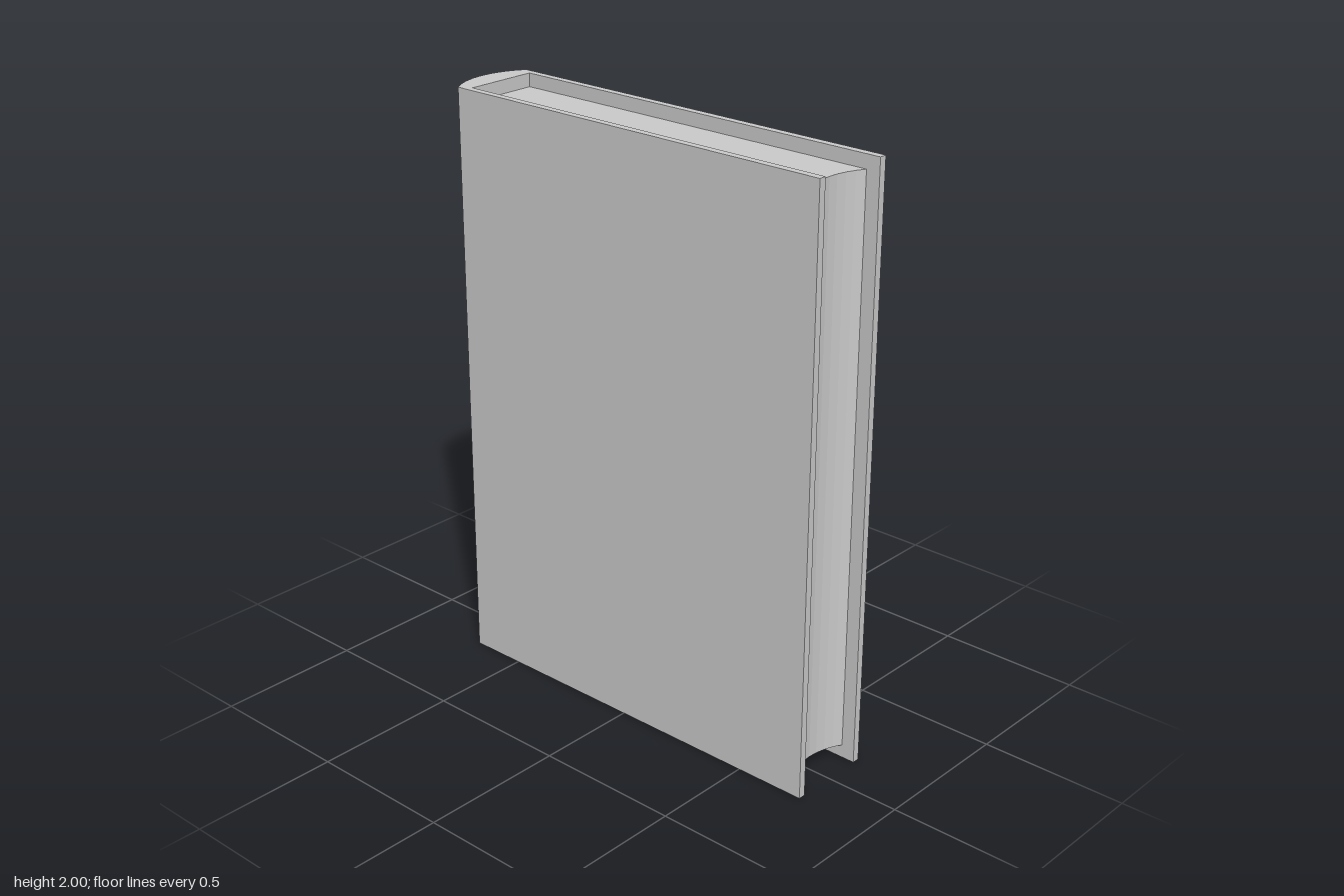
import * as THREE from 'three';

const HALF_W = 0.15, INNER = 0.125, DEPTH = 0.745;

// Points of a shallow arc from x = +half to x = -half, bulging by rise toward the back
function arc(half, edge, rise, steps = 8) {
  const r = (half * half + rise * rise) / (2 * rise);
  const a = Math.asin(half / r);
  return Array.from({ length: steps + 1 }, (_, i) => {
    const t = a - (2 * a * i) / steps;
    return new THREE.Vector2(r * Math.sin(t), edge + rise - r * (1 - Math.cos(t)));
  });
}

// Upright prism from a plan outline whose second coordinate points to the back (-z)
function prism(name, points, bottom, top) {
  const geometry = new THREE.ExtrudeGeometry(new THREE.Shape(points), { depth: top - bottom, bevelEnabled: false });
  geometry.rotateX(-Math.PI / 2).translate(0, bottom, 0);
  const mesh = new THREE.Mesh(geometry, new THREE.MeshStandardMaterial({ color: 0xcccccc, flatShading: true }));
  mesh.name = name;
  return mesh;
}

export function createModel() {
  const book = new THREE.Group();
  book.name = 'book';
  const v = (x, y) => new THREE.Vector2(x, y);

  // Two boards joined by a rounded spine
  const cover = prism('cover', [
    v(HALF_W, -DEPTH),
    ...arc(HALF_W, 0.695, 0.05),
    v(-HALF_W, -DEPTH),
    v(-INNER, -DEPTH),
    v(-INNER, 0.655),
    v(INNER, 0.655),
    v(INNER, -DEPTH),
  ], 0, 2);

  // Page block with a hollowed fore edge
  const pages = prism('pages', [
    v(INNER, 0.655),
    v(-INNER, 0.655),
    ...arc(INNER, -0.698, 0.035).reverse(),
  ], 0.045, 1.955);

  book.add(cover, pages);
  return book;
}
